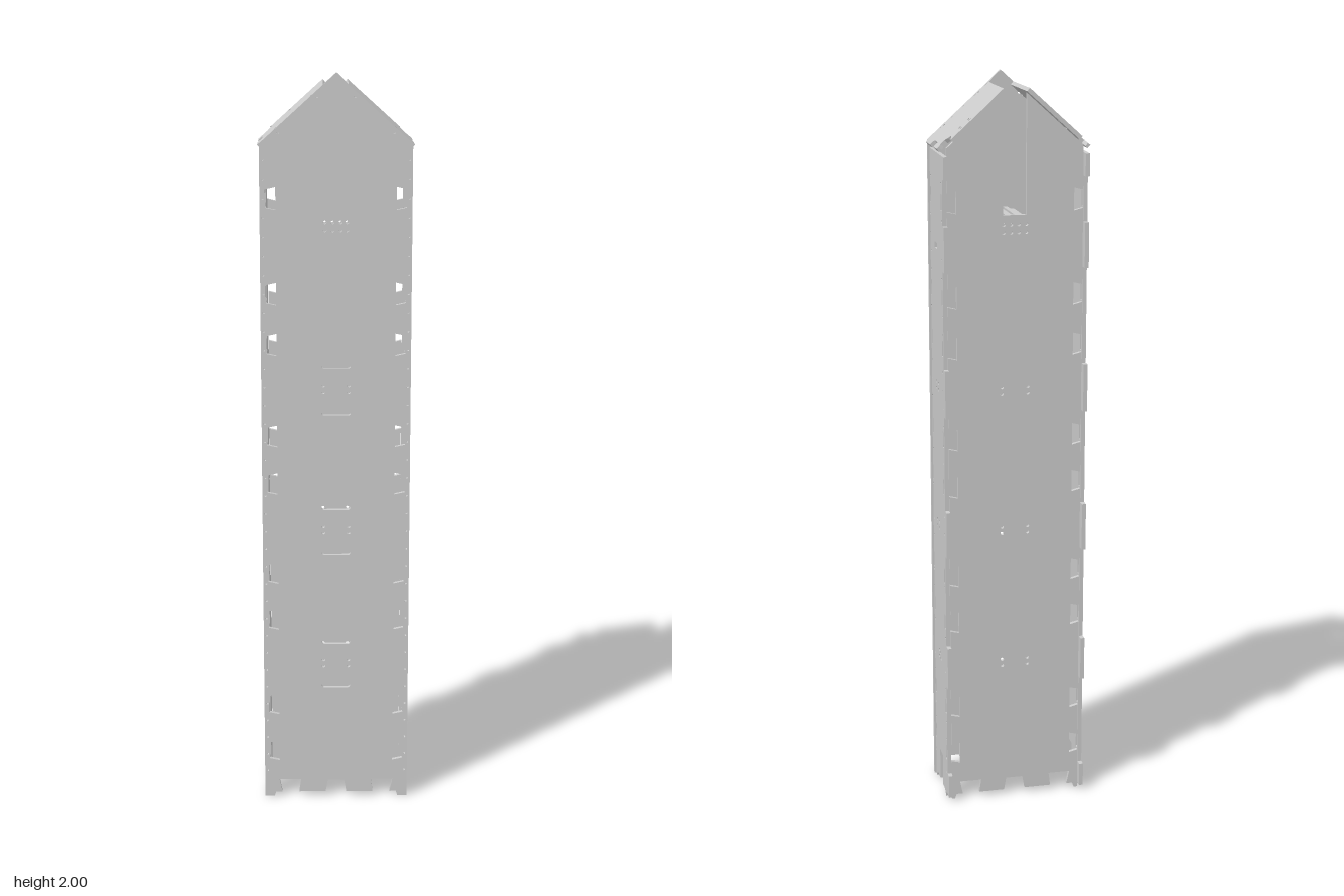
import * as THREE from 'three';

const T = 0.011, FRONT = 0.1025, BACK = -0.083, SLOPE = 0.9;
const material = new THREE.MeshStandardMaterial({ color: 0xcccccc, side: THREE.DoubleSide });
const WINDOWS = [0.14, 0.278, 0.527, 0.66, 0.913, 1.045, 1.294, 1.43, 1.68];
const BOLT_ROWS = [0.4, 0.785, 1.175];

const poly = (pts) => new THREE.Path(pts.map(([x, y]) => new THREE.Vector2(x, y)));
const rect = (x, y, w, h) => poly([
  [x - w / 2, y - h / 2], [x - w / 2, y + h / 2], [x + w / 2, y + h / 2], [x + w / 2, y - h / 2],
]);
function dot(x, y, r = 0.004) {
  const pts = [];
  for (let i = 0; i < 8; i++) pts.push([x + r * Math.cos(i * Math.PI / 4), y + r * Math.sin(i * Math.PI / 4)]);
  return poly(pts);
}
// horizontal slot with rounded ends
function slot(y, half, r) {
  const p = new THREE.Path();
  p.absarc(half - r, y, r, -Math.PI / 2, Math.PI / 2);
  p.absarc(r - half, y, r, Math.PI / 2, Math.PI * 1.5);
  p.closePath();
  return p;
}
function sheet(outline, holes) {
  const shape = new THREE.Shape(outline.map(([x, y]) => new THREE.Vector2(x, y)));
  shape.holes = holes;
  return new THREE.ExtrudeGeometry(shape, { depth: T, bevelEnabled: false, curveSegments: 6 });
}
function add(group, name, geometry) {
  const m = new THREE.Mesh(geometry, material);
  m.name = name;
  group.add(m);
  return m;
}
const mirrored = (half) => [...half, ...half.map(([x, y]) => [-x, y]).reverse()];

// dovetailed lower edge, from the middle out to the right corner
const footEdge = (w) => [
  [0.024, 0.05], [0.03, 0.015], [0.103, 0.015], [0.098, 0.052], [0.158, 0.052],
  [0.15, 0.015], [0.168, 0.015], [0.172, 0.002], [w, 0.002],
];
const boltHoles = (spread) => BOLT_ROWS.flatMap((y) =>
  [-1, 1].flatMap((s) => [dot(s * spread, y - 0.009, 0.005), dot(s * spread, y + 0.009, 0.005)]));

function frontPanel() {
  const w = 0.198;
  const holes = [...boltHoles(0.035)];
  for (const s of [-1, 1]) {
    for (const y of WINDOWS) {
      holes.push(poly([[s * 0.184, y - 0.024], [s * 0.184, y + 0.024], [s * 0.157, y + 0.03], [s * 0.157, y - 0.03]]));
    }
    for (let y = 0.08; y < 1.8; y += 0.05) holes.push(dot(s * 0.19, y, 0.003));
    for (const x of [0.05, 0.15]) holes.push(dot(s * x, 1.985 - SLOPE * x));
  }
  for (const y of BOLT_ROWS) holes.push(slot(y + 0.062, 0.04, 0.007), slot(y - 0.066, 0.04, 0.007));
  for (const x of [-0.03, -0.01, 0.01, 0.03]) holes.push(dot(x, 1.597, 0.005), dot(x, 1.618, 0.005));
  return sheet(mirrored([...footEdge(w), [w, 2 - SLOPE * w], [0.0005, 2]]), holes);
}

function backPanel() {
  const w = 0.181, edge = [];
  // hooked notches along the edge
  for (const y of WINDOWS) edge.push([w, y - 0.024], [0.157, y - 0.03], [0.157, y + 0.03], [w, y + 0.024]);
  const top = (x) => 1.983 - SLOPE * x;
  const holes = boltHoles(0.035);
  for (const x of [-0.03, -0.01, 0.01, 0.03]) holes.push(dot(x, 1.597, 0.005), dot(x, 1.618, 0.005));
  return sheet(mirrored([...footEdge(w), ...edge, [w, top(w)], [0.031, top(0.031)], [0.031, 1.643]]), holes);
}

// outline drawn in (z, y)
function sideWall() {
  const tabs = [[0.34, 0.46], [0.72, 0.85], [1.11, 1.24], [1.5, 1.62], [1.74, 1.8]];
  const f = FRONT - T, b = BACK, tip = -FRONT;
  const outline = [
    [tip, 0.015], [-0.065, 0.015], [-0.06, 0.002], [-0.04, 0.015], [-0.012, 0.015],
    [-0.012, 0.105], [0.028, 0.105], [0.028, 0.015], [0.07, 0.015], [0.075, 0.002],
    [f, 0.002], [f, 1.803],
  ];
  for (const [lo, hi] of [...tabs].reverse()) {
    if (hi < 1.8) outline.push([b, hi]);
    outline.push([tip, hi], [tip, lo], [b, lo]);
  }
  outline.push([b, 0.08], [tip, 0.08]);
  const holes = [rect(0.014, 1.555, 0.036, 0.016)];
  for (const y of WINDOWS) holes.push(rect(-0.068, y, 0.013, 0.042), rect(0.083, y, 0.01, 0.042));
  for (const y of BOLT_ROWS) {
    for (const z of [0, 0.026]) holes.push(dot(z, y - 0.009, 0.005), dot(z, y + 0.009, 0.005));
  }
  for (let y = 0.08; y < 1.78; y += 0.05) {
    if (WINDOWS.every((c) => Math.abs(c - y) > 0.03)) holes.push(dot(0.084, y, 0.003), dot(-0.07, y, 0.003));
  }
  return sheet(outline, holes);
}

// flat plate in (x, -z), then tilted to the roof pitch
function roofPlate() {
  const k = Math.hypot(1, SLOPE);
  const flat = ([x, z]) => [x * k, -z];
  const outline = [
    [0.034, FRONT - T], [0.203, FRONT - T], [0.203, 0.029], [0.191, 0.029], [0.191, -0.018],
    [0.203, -0.018], [0.203, -0.067], [0.197, -0.067], [0.19, -0.055], [0.18, -0.055],
    [0.173, -0.067], [0.166, -0.072], [0.173, -FRONT], [0.034, -FRONT],
  ].map(flat);
  const holes = [[0.121, -0.085], [0.144, -0.085], [0.121, -0.07], [0.144, -0.07], [0.063, 0.086], [0.155, 0.086]]
    .map((p) => dot(...flat(p)));
  return sheet(outline, holes)
    .rotateX(-Math.PI / 2)
    .translate(0, -T, 0)
    .rotateZ(-Math.atan(SLOPE))
    .translate(0, 2, 0);
}

export function createModel() {
  const model = new THREE.Group();
  model.name = 'tower';

  add(model, 'frontPanel', frontPanel()).position.z = FRONT - T;
  add(model, 'backPanel', backPanel()).position.z = BACK;

  const wall = sideWall();
  for (const [name, x] of [['leftWall', 0.193], ['rightWall', -0.182]]) {
    const m = add(model, name, wall);
    m.rotation.y = -Math.PI / 2;
    m.position.x = x;
  }

  const plate = roofPlate();
  add(model, 'leftRoof', plate);
  add(model, 'rightRoof', plate).scale.x = -1;

  // narrow ribbed shelf behind the back slot
  const shelf = new THREE.Group();
  shelf.name = 'shelf';
  model.add(shelf);
  add(shelf, 'shelfPlate', new THREE.BoxGeometry(0.07, T, 0.163)).position.set(0, 1.628, 0.0097);
  for (const x of [-0.012, 0.012]) {
    add(shelf, 'shelfRib', new THREE.BoxGeometry(0.012, 0.006, 0.163)).position.set(x, 1.636, 0.0097);
  }
  return model;
}
